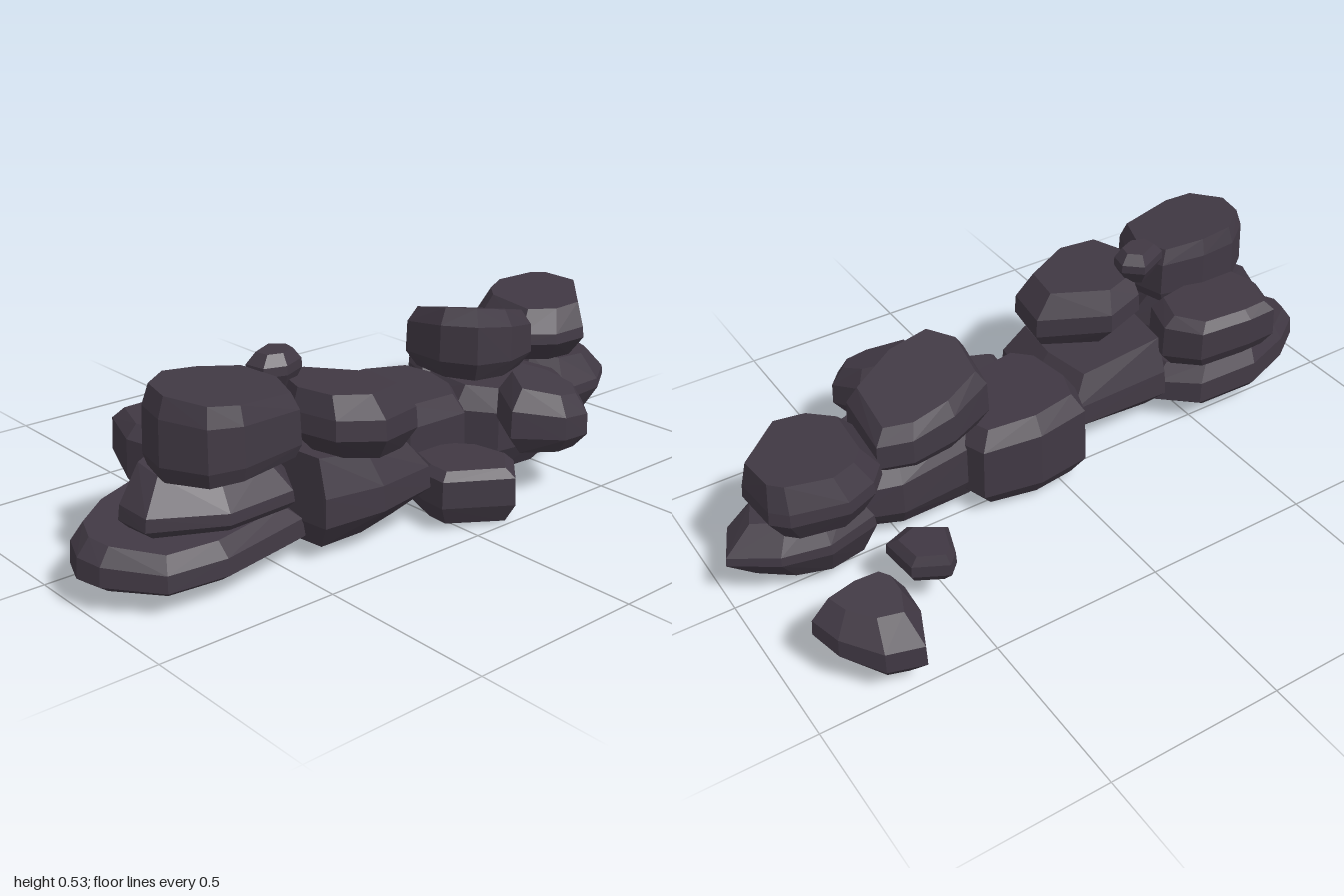
import * as THREE from 'three';
import { ConvexGeometry } from 'three/addons/geometries/ConvexGeometry.js';

// Boulder: hull of a plan outline [x, z] stacked at four levels.
// low / high: plan scale of the bottom and top faces; belly: heights of the two widest levels
// under / over: tilt of the bottom and top (rise per unit of x and z)
// lowShift / highShift: sideways offset of the bottom and top faces
function boulder(outline, [y0, y1], {
  low = 0.75, high = 0.75, belly = [0.3, 0.7], under = [0, 0], over = [0, 0], lowShift = [0, 0], highShift = [0, 0],
} = {}) {
  const cx = outline.reduce((s, p) => s + p[0], 0) / outline.length;
  const cz = outline.reduce((s, p) => s + p[1], 0) / outline.length;
  const still = [0, 0];
  const levels = [[0, low, lowShift], [belly[0], 1, still], [belly[1], 0.98, still], [1, high, highShift]];
  const points = [];
  for (const [t, scale, shift] of levels) {
    const tiltX = THREE.MathUtils.lerp(under[0], over[0], t);
    const tiltZ = THREE.MathUtils.lerp(under[1], over[1], t);
    outline.forEach(([px, pz]) => {
      const x = (px - cx) * scale;
      const z = (pz - cz) * scale;
      points.push(new THREE.Vector3(cx + x + shift[0], t * (y1 - y0) + tiltX * x + tiltZ * z, cz + z + shift[1]));
    });
  }
  // Settle the tilted points between the two heights
  const ys = points.map((p) => p.y);
  const bottom = Math.min(...ys);
  const k = (y1 - y0) / (Math.max(...ys) - bottom);
  points.forEach((p) => { p.y = y0 + (p.y - bottom) * k; });
  return new ConvexGeometry(points);
}

export function createModel() {
  const group = new THREE.Group();
  const stone = new THREE.MeshStandardMaterial({ color: 0x403843, flatShading: true });
  stone.name = 'dark stone';

  const add = (name, heights, options, ...outline) => {
    const mesh = new THREE.Mesh(boulder(outline, heights, options), stone);
    mesh.name = name;
    group.add(mesh);
  };

  // Front stack
  add('frontBaseSlab', [0.045, 0.2], { over: [-0.18, 0.02], under: [-0.03, 0.03], low: 0.88, high: 0.84, belly: [0.2, 0.65] },
    [-0.06, 0.7], [0, 0.86], [0.08, 0.97], [0.16, 1], [0.23, 0.98], [0.35, 0.87], [0.36, 0.7], [0.3, 0.42], [0.05, 0.4], [-0.05, 0.5]);
  add('frontLeftMiddleRock', [0.185, 0.35], { over: [-0.25, 0], low: 0.9, high: 0.72, belly: [0.15, 0.4], highShift: [-0.02, 0] },
    [0.1, 0.72], [0.18, 0.89], [0.28, 0.88], [0.37, 0.7], [0.36, 0.5], [0.25, 0.44], [0.12, 0.48]);
  add('frontRightMiddleRock', [0.19, 0.38], { under: [-0.2, 0], low: 0.82, high: 0.8, belly: [0.25, 0.82] },
    [-0.09, 0.64], [-0.075, 0.47], [0.02, 0.4], [0.14, 0.44], [0.17, 0.6], [0.15, 0.76], [0.06, 0.785], [-0.085, 0.735]);
  add('frontTopRock', [0.32, 0.535], { over: [-0.08, 0.12], under: [0, -0.03], low: 0.92, high: 0.88, belly: [0.2, 0.75] },
    [0.12, 0.62], [0.155, 0.49], [0.27, 0.455], [0.39, 0.5], [0.42, 0.69], [0.4, 0.78], [0.29, 0.84], [0.19, 0.82], [0.12, 0.73]);
  add('pebble', [0.44, 0.535], { low: 0.65, high: 0.65, belly: [0.45, 0.7] },
    [0.12, 0.4], [0.165, 0.35], [0.22, 0.36], [0.25, 0.43], [0.23, 0.49], [0.17, 0.5]);

  // Middle of the wall
  add('middleBaseRock', [0.035, 0.29], { over: [0, 0.08], under: [0, -0.12], low: 0.68, high: 0.8, belly: [0.3, 0.6], lowShift: [0, 0.03], highShift: [0, 0.03] },
    [0.01, 0.08], [0.2, 0.05], [0.39, 0.07], [0.41, 0.25], [0.38, 0.42], [0.2, 0.44], [0.02, 0.42]);
  add('middleTopRock', [0.25, 0.468], { over: [0, 0.15], under: [0, 0.2], low: 0.72, high: 0.78, belly: [0.35, 0.65], lowShift: [0, -0.02], highShift: [0, 0.015] },
    [0.11, 0.28], [0.24, 0.1], [0.39, 0.12], [0.46, 0.29], [0.42, 0.42], [0.3, 0.46], [0.14, 0.4]);
  add('centreRock', [0.03, 0.31], { over: [-0.05, 0.08], low: 0.8, high: 0.8, belly: [0.2, 0.8] },
    [-0.1, -0.1], [-0.065, -0.27], [0.03, -0.3], [0.16, -0.27], [0.25, -0.2], [0.27, 0.03], [0.2, 0.085], [0.03, 0.1], [-0.08, 0.06]);
  add('lowSideRock', [0.005, 0.17], { over: [0, 0.05], under: [0, 0.08], low: 0.82, high: 0.8, belly: [0.35, 0.85] },
    [0.2, 0], [0.25, -0.15], [0.3, -0.2], [0.42, -0.22], [0.52, -0.12], [0.43, 0.065], [0.35, 0.06]);

  // Rear of the wall
  add('rearBaseRock', [0.03, 0.285], { over: [0, 0.1], under: [0, -0.1], low: 0.8, high: 0.78, belly: [0.3, 0.75] },
    [-0.03, -0.5], [0.02, -0.65], [0.2, -0.67], [0.27, -0.63], [0.33, -0.42], [0.3, -0.28], [0.2, -0.2], [0, -0.22]);
  add('rearTopRock', [0.27, 0.505], { over: [0.25, 0.28], under: [0, 0.12], low: 0.82, high: 0.82, belly: [0.25, 0.75] },
    [-0.07, -0.48], [-0.03, -0.57], [0.16, -0.56], [0.23, -0.4], [0.23, -0.26], [0.14, -0.2], [-0.02, -0.22], [-0.065, -0.35]);
  add('highSideRock', [0.14, 0.355], { over: [-0.4, 0.15], under: [-0.15, 0], low: 0.7, high: 0.7 },
    [0.27, -0.36], [0.33, -0.44], [0.43, -0.48], [0.495, -0.43], [0.495, -0.34], [0.42, -0.2], [0.31, -0.26]);
  add('backBaseRock', [0.045, 0.265], { over: [0, 0.1], under: [0, -0.1], low: 0.72, high: 0.66, belly: [0.45, 0.6], lowShift: [0, 0.02], highShift: [0, 0.01] },
    [-0.07, -0.88], [0.01, -1], [0.12, -0.95], [0.2, -0.83], [0.21, -0.66], [0.1, -0.59], [-0.06, -0.6], [-0.1, -0.75]);
  add('backTopRock', [0.26, 0.445], { over: [-0.05, -0.08], low: 0.76, high: 0.8, belly: [0.4, 0.6], highShift: [0, -0.02] },
    [-0.18, -0.72], [-0.15, -0.87], [-0.11, -0.91], [0.03, -0.92], [0.2, -0.75], [0.19, -0.64], [0.12, -0.56], [-0.08, -0.58], [-0.14, -0.63]);

  // Loose stones
  add('largeLooseRock', [0.045, 0.25], { over: [0.15, 0], under: [0.45, 0], low: 0.55, high: 0.65, belly: [0.35, 0.65], lowShift: [-0.01, 0], highShift: [0.02, 0] },
    [-0.525, -0.71], [-0.5, -0.81], [-0.41, -0.89], [-0.33, -0.92], [-0.305, -0.8], [-0.31, -0.7], [-0.35, -0.67], [-0.43, -0.67]);
  add('smallLooseRock', [0.105, 0.205], { over: [-0.06, 0], low: 0.75, high: 0.72, belly: [0.38, 0.72], lowShift: [0.01, 0], highShift: [-0.01, 0] },
    [-0.335, -0.53], [-0.285, -0.62], [-0.165, -0.63], [-0.135, -0.55], [-0.2, -0.46], [-0.3, -0.495]);
  return group;
}
